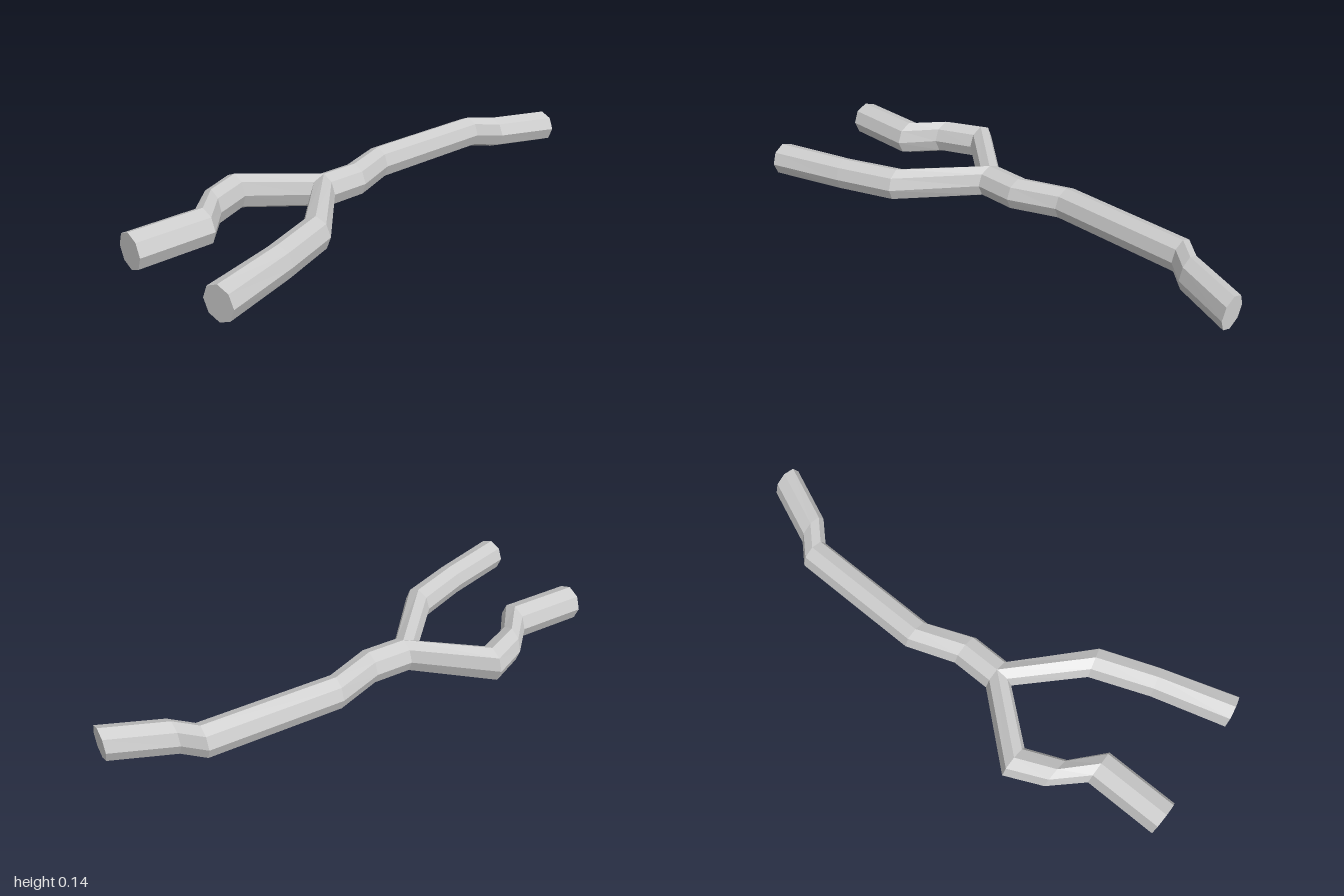
import * as THREE from 'three';

const SIDES = 8;
const MID_Y = 0.0715;

// One eight-sided ring: right edge, left edge, vertical radius and ridge point (all in plan, [x, z]).
function ring(left, right, radius, ridge) {
  const mid = ridge || [(left[0] + right[0]) / 2, (left[1] + right[1]) / 2];
  const points = [];
  for (let i = 0; i < SIDES; i++) {
    const a = (i / SIDES) * Math.PI * 2;
    const c = Math.cos(a);
    const edge = c > 0 ? right : left;
    const t = Math.abs(c);
    points.push([
      mid[0] + (edge[0] - mid[0]) * t,
      MID_Y + radius * Math.sin(a),
      mid[1] + (edge[1] - mid[1]) * t,
    ]);
  }
  return points;
}

// Skins a run of rings from back to front, closing either end on request.
function skin(name, rings, capBack, capFront, material) {
  const pos = [];
  const tri = (a, b, c) => pos.push(...a, ...b, ...c);
  for (let k = 0; k < rings.length - 1; k++) {
    for (let i = 0; i < SIDES; i++) {
      const j = (i + 1) % SIDES;
      const [a, b, c, d] = [rings[k][i], rings[k][j], rings[k + 1][j], rings[k + 1][i]];
      tri(a, b, c);
      tri(a, c, d);
    }
  }
  const first = rings[0];
  const last = rings[rings.length - 1];
  for (let i = 1; i < SIDES - 1; i++) {
    if (capBack) tri(first[0], first[i + 1], first[i]);
    if (capFront) tri(last[0], last[i], last[i + 1]);
  }
  const geometry = new THREE.BufferGeometry();
  geometry.setAttribute('position', new THREE.Float32BufferAttribute(pos, 3));
  geometry.computeVertexNormals();
  const mesh = new THREE.Mesh(geometry, material);
  mesh.name = name;
  return mesh;
}

export function createModel() {
  const group = new THREE.Group();
  group.name = 'forkedBranch';
  const material = new THREE.MeshStandardMaterial({ color: 0xcccccc, flatShading: true });
  const R = 0.067;
  const THICK = 0.0715;

  // Points shared by the trunk and both prongs at the fork
  const forkLeft = [-0.18, 0.19];
  const forkRight = [-0.05, 0.19];
  const ridge = [-0.115, 0.19];
  const crotch = [-0.113, 0.26];

  // Crooked trunk
  group.add(skin('trunk', [
    ring([-0.085, -1], [0.045, -1], R),
    ring([-0.18, -0.765], [-0.05, -0.77], R),
    ring([-0.25, -0.69], [-0.125, -0.69], R),
    ring([-0.25, -0.155], [-0.125, -0.15], R),
    ring([-0.18, 0.035], [-0.05, 0.035], R),
    ring(forkLeft, forkRight, R, ridge),
  ], true, false, material));

  // Thicker, kinked prong on the -x side
  group.add(skin('kinkedProng', [
    ring(forkLeft, crotch, R, ridge),
    ring([-0.403, 0.45], [-0.27, 0.45], THICK),
    ring([-0.335, 0.595], [-0.205, 0.6], THICK),
    ring([-0.222, 0.71], [-0.082, 0.705], THICK),
    ring([-0.222, 1], [-0.082, 1], THICK),
  ], false, true, material));

  // Gently bent prong on the +x side
  group.add(skin('bentProng', [
    ring(crotch, forkRight, R, ridge),
    ring([0.1, 0.465], [0.22, 0.43], R),
    ring([0.19, 0.695], [0.305, 0.655], R),
    ring([0.273, 0.98], [0.401, 0.952], R),
  ], false, true, material));

  return group;
}
